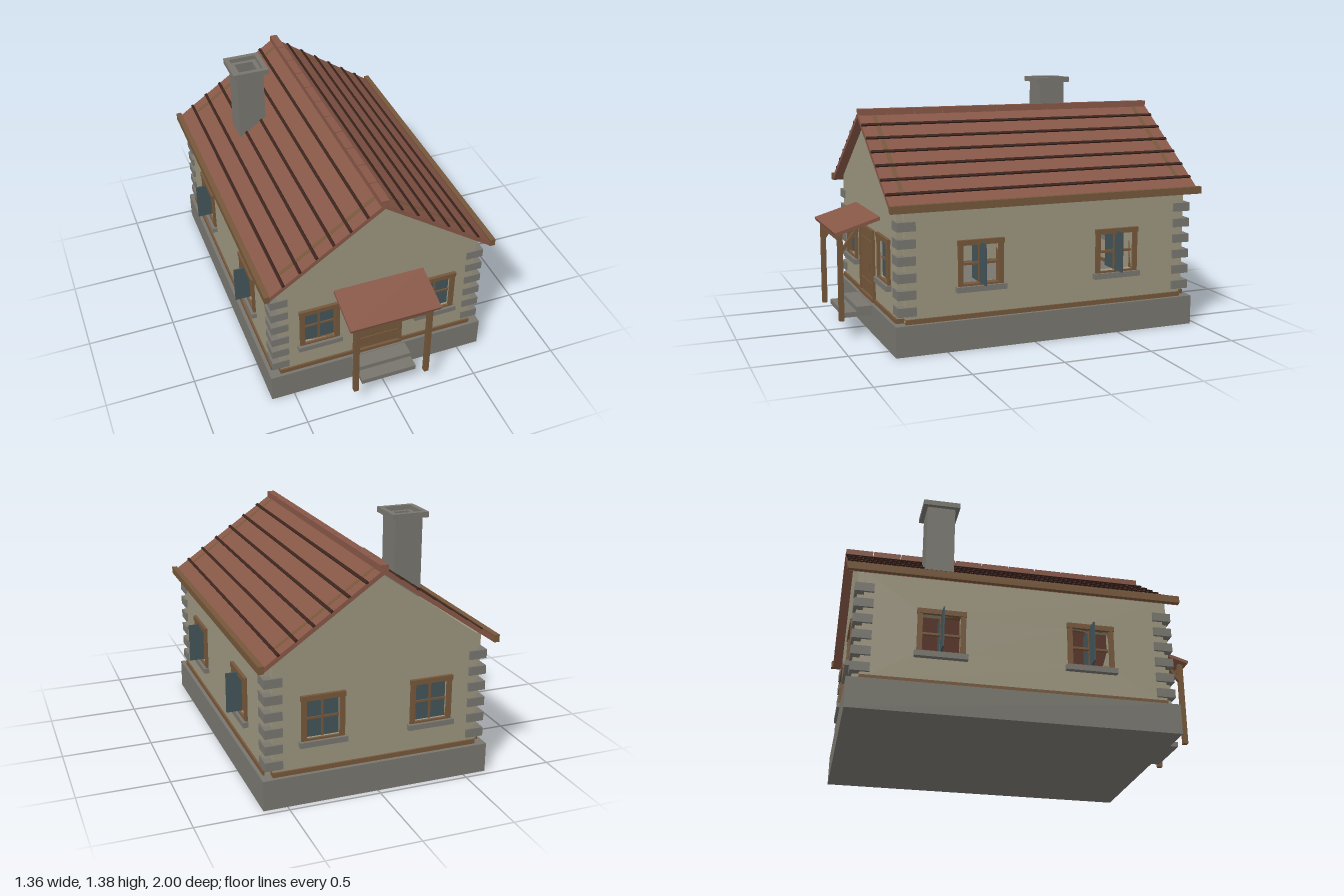
import * as THREE from 'three';

const mat = (color) => new THREE.MeshStandardMaterial({ color });
const WALL = mat(0x9c957f), STONE = mat(0x78766e), WOOD = mat(0x75573a);
const ROOF = mat(0x875747), DARK = mat(0x3a231d), GLASS = mat(0x435358), SOOT = mat(0x2a2c30);
WALL.side = THREE.DoubleSide;

// Box given by its min and max on each axis
function box(parent, name, material, x0, x1, y0, y1, z0, z1) {
  const m = new THREE.Mesh(new THREE.BoxGeometry(x1 - x0, y1 - y0, z1 - z0), material);
  m.position.set((x0 + x1) / 2, (y0 + y1) / 2, (z0 + z1) / 2);
  m.name = name;
  parent.add(m);
  return m;
}

const outline = (pts) => pts.map(([x, y]) => new THREE.Vector2(x, y));
const rect = (x0, x1, y0, y1) => outline([[x0, y0], [x1, y0], [x1, y1], [x0, y1]]);

function extrude(parent, name, material, pts, depth, holes = []) {
  const shape = new THREE.Shape(pts);
  holes.forEach((h) => shape.holes.push(new THREE.Path(h)));
  const m = new THREE.Mesh(new THREE.ExtrudeGeometry(shape, { depth, bevelEnabled: false }), material);
  m.name = name;
  parent.add(m);
  return m;
}

// Bar between two points of the yz plane at a given x
function slopedBar(parent, name, material, x, width, thick, z0, y0, z1, y1) {
  const dz = z1 - z0, dy = y1 - y0;
  const m = new THREE.Mesh(new THREE.BoxGeometry(width, thick, Math.hypot(dz, dy)), material);
  m.position.set(x, (y0 + y1) / 2, (z0 + z1) / 2);
  m.rotation.x = -Math.atan2(dy, dz);
  m.name = name;
  parent.add(m);
}

const T = 0.035; // wall thickness
const WIN_Y0 = 0.352, WIN_Y1 = 0.56;

// Window on a wall whose outer face is local z = 0
function addWindow(parent, cx, w, open) {
  const g = new THREE.Group();
  g.name = open ? 'openWindow' : 'window';
  g.position.x = cx;
  parent.add(g);
  const h = w / 2, f = h + 0.027, mid = (WIN_Y0 + WIN_Y1) / 2;
  for (const s of [-1, 1]) {
    const a = s * h, b = s * f;
    box(g, 'windowJamb', WOOD, Math.min(a, b), Math.max(a, b), 0.34, WIN_Y1, -T, 0.014);
  }
  box(g, 'windowHeader', WOOD, -f - 0.003, f + 0.003, WIN_Y1, 0.588, -T, 0.018);
  box(g, 'windowBottomRail', WOOD, -h, h, 0.34, WIN_Y0, -T, 0.014);
  box(g, 'windowSill', STONE, -f - 0.013, f + 0.013, 0.312, 0.342, -T, 0.03);
  box(g, 'mullion', WOOD, -0.006, 0.006, WIN_Y0, WIN_Y1, -0.024, -0.006);
  box(g, 'transom', WOOD, -h, h, mid - 0.006, mid + 0.006, -0.024, -0.006);
  // Open sashes stand square to the wall
  if (open) box(g, 'openPane', GLASS, -0.004, 0.004, 0.352, 0.575, -0.12, 0.08);
  else box(g, 'pane', GLASS, -h, h, WIN_Y0, WIN_Y1, -0.02, -0.012);
}

// One wall with its windows and sole timber, turned to face its side
function addWall(parent, name, pts, half, centers, w, open, pos, turn) {
  const g = new THREE.Group();
  g.name = name;
  g.position.set(...pos);
  g.rotation.y = turn;
  parent.add(g);
  const holes = centers.map((c) => rect(c - w / 2, c + w / 2, WIN_Y0, WIN_Y1));
  extrude(g, name + 'Panel', WALL, outline(pts), T, holes).position.z = -T;
  centers.forEach((c) => addWindow(g, c, w, open));
  box(g, 'soleTimber', WOOD, -half, half, 0.165, 0.19, -T, 0.01);
}

function addWalls(house) {
  const G = 0.567, gable = [[-G, 0.165], [G, 0.165], [G, 0.787], [0, 1.18], [-G, 0.787]];
  addWall(house, 'frontWall', gable, G + 0.003, [-0.34, 0.34], 0.172, false, [0, 0, 0.753], 0);
  addWall(house, 'backWall', gable, G + 0.003, [-0.3, 0.3], 0.18, false, [0, 0, -0.937], Math.PI);
  const L = 0.811, side = [[-L, 0.165], [L, 0.165], [L, 0.785], [-L, 0.785]];
  for (const s of [-1, 1]) {
    const centers = [0.397, -0.403].map((z) => -s * z);
    addWall(house, 'sideWall', side, L, centers, 0.2, true, [s * 0.6, 0, -0.092], s * Math.PI / 2);
  }
  // Corner stones
  for (const sx of [-1, 1]) for (const z of [0.712, -0.902]) for (let i = 0; i < 6; i++) {
    const y = 0.208 + i * 0.0895, x = sx * 0.565;
    box(house, 'cornerStone', STONE, x - 0.048, x + 0.048, y, y + 0.048, z - 0.05, z + 0.05);
  }
}

function addRoof(house) {
  const roof = new THREE.Group();
  roof.name = 'roof';
  house.add(roof);
  const K = 0.6875, top = (x) => 1.215 - K * x;
  const z0 = -0.99, z1 = 0.8;
  const chevron = (name, material, half, up, down, a, b) => {
    const pts = [[0, 1.215 + up], [half, top(half) + up], [half, top(half) - down],
      [0, 1.215 - down], [-half, top(half) - down], [-half, top(half) + up]];
    extrude(roof, name, material, outline(pts), b - a).position.z = a;
  };
  chevron('roofSlopes', ROOF, 0.63, 0, 0.028, z0, z1);
  for (const z of [0.71, -0.905]) chevron('rafters', WOOD, 0.55, 0.001, 0.027, z - 0.012, z + 0.012);
  for (const s of [-1, 1]) {
    // Dark battens along each course
    for (let k = 1; k <= 6; k++) {
      const x = 0.0915 * k;
      const b = box(roof, 'courseBatten', DARK, -0.008, 0.008, -0.006, 0.006, z0, z1);
      b.position.x = s * x;
      b.position.y = top(x) + 0.002;
      b.rotation.z = -s * Math.atan(K);
    }
    box(roof, 'eaveBoard', WOOD, s * 0.64 - 0.015, s * 0.64 + 0.015, 0.757, 0.797, -1, 0.806);
  }
  // Ridge caps
  const step = (z1 - z0) / 11;
  for (let i = 0; i < 11; i++) {
    const a = z0 + i * step;
    box(roof, 'ridgeCap', ROOF, -0.022, 0.022, 1.193, 1.235, a + 0.003, a + step - 0.003);
  }
}

function addChimney(house) {
  const g = new THREE.Group();
  g.name = 'chimney';
  g.position.set(-0.325, 0, -0.487);
  house.add(g);
  const ring = (name, out, inn, y0, y1) => {
    const m = extrude(g, name, STONE, rect(-out, out, -out, out), y1 - y0, [rect(-inn, inn, -inn, inn)]);
    m.rotation.x = -Math.PI / 2;
    m.position.y = y0;
  };
  ring('chimneyStack', 0.079, 0.053, 0.9, 1.35);
  ring('chimneyCap', 0.104, 0.077, 1.345, 1.375);
  box(g, 'flue', SOOT, -0.053, 0.053, 0.91, 1.28, -0.053, 0.053);
}

function addDoor(house) {
  const g = new THREE.Group();
  g.name = 'door';
  house.add(g);
  for (const s of [-1, 1]) box(g, 'doorJamb', WOOD, s * 0.134 - 0.01, s * 0.134 + 0.01, 0.18, 0.56, 0.74, 0.77);
  box(g, 'doorHeader', WOOD, -0.144, 0.144, 0.55, 0.578, 0.74, 0.77);
  box(g, 'threshold', WOOD, -0.144, 0.144, 0.172, 0.192, 0.74, 0.775);
  const w = 0.248 / 6;
  for (let i = 0; i < 6; i++) {
    const x = -0.124 + i * w;
    box(g, 'doorPlank', WOOD, x + 0.001, x + w - 0.001, 0.19, 0.55, 0.745, 0.76);
  }
  for (const y of [0.264, 0.503]) box(g, 'doorStrap', WOOD, -0.116, 0.116, y - 0.006, y + 0.006, 0.755, 0.765);
  box(g, 'doorHandle', WOOD, 0.086, 0.094, 0.345, 0.39, 0.755, 0.775);
}

function addPorch(house) {
  const g = new THREE.Group();
  g.name = 'porch';
  house.add(g);
  slopedBar(g, 'porchRoof', ROOF, 0, 0.516, 0.018, 0.745, 0.668, 0.997, 0.593);
  box(g, 'porchBeam', WOOD, -0.225, 0.225, 0.55, 0.578, 0.952, 0.975);
  for (const s of [-1, 1]) {
    const x = s * 0.209;
    box(g, 'porchPost', WOOD, x - 0.0135, x + 0.0135, 0.107, 0.595, 0.95, 0.977);
    slopedBar(g, 'porchBrace', WOOD, x, 0.02, 0.018, 0.965, 0.48, 0.87, 0.605);
  }
  box(g, 'lowerStep', STONE, -0.16, 0.16, 0.107, 0.135, 0.77, 0.94);
  box(g, 'upperStep', STONE, -0.16, 0.16, 0.135, 0.162, 0.77, 0.867);
}

export function createModel() {
  const house = new THREE.Group();
  house.name = 'cottage';
  box(house, 'foundation', STONE, -0.63, 0.63, 0, 0.165, -0.968, 0.78);
  addWalls(house);
  addRoof(house);
  addChimney(house);
  addDoor(house);
  addPorch(house);
  return house;
}
